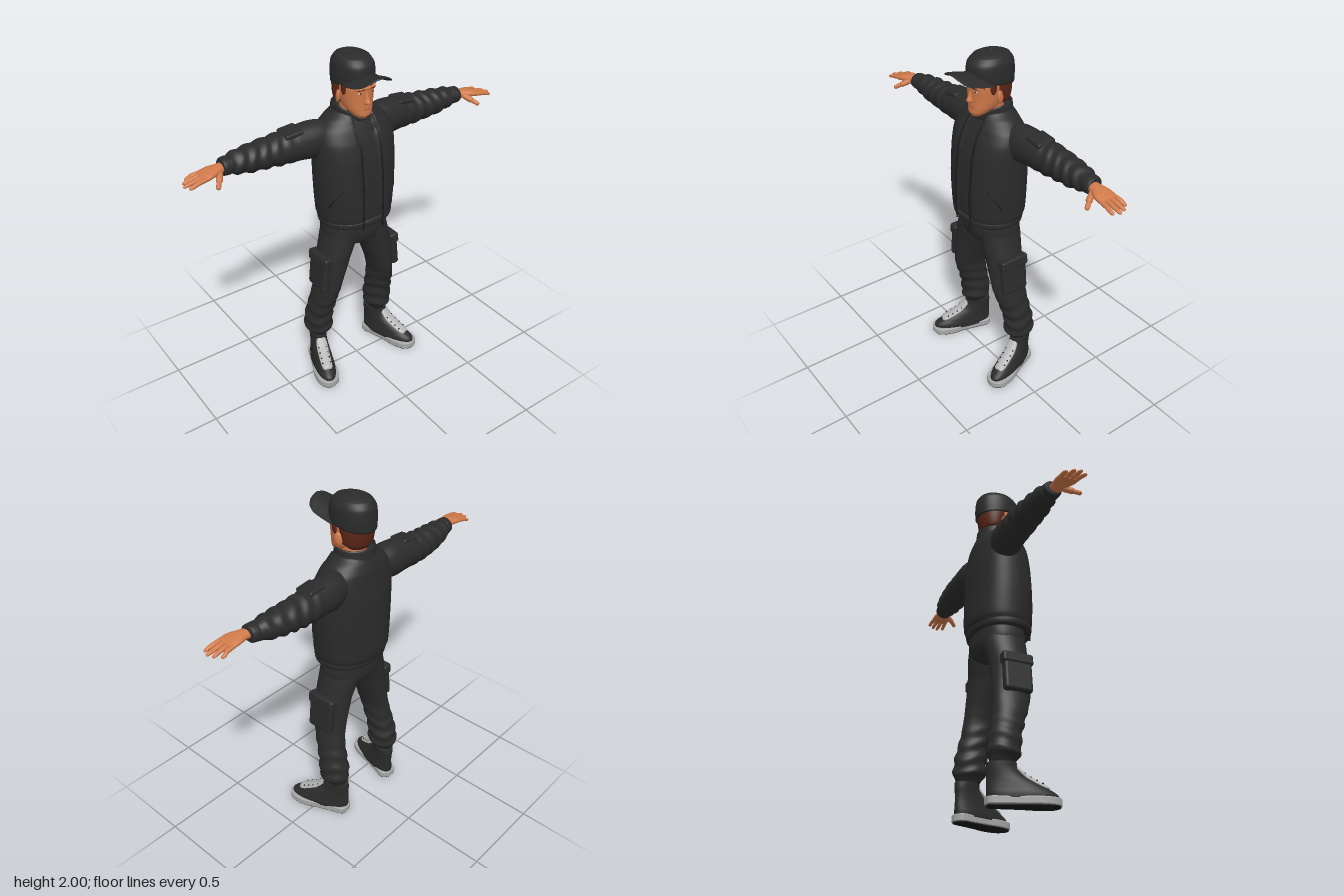
import * as THREE from 'three';
import { RoundedBoxGeometry } from 'three/addons/geometries/RoundedBoxGeometry.js';

const mat = (name, color, side = THREE.FrontSide) => {
  const m = new THREE.MeshStandardMaterial({ color, side });
  m.name = name;
  return m;
};
const M = {
  cloth: mat('charcoal cloth', 0x2b2b2b, THREE.DoubleSide),
  seam: mat('dark seam', 0x1b1b1b),
  skin: mat('skin', 0xd07a4a),
  hair: mat('auburn hair', 0x5a2618),
  lips: mat('lips', 0xb05f40),
  white: mat('eye white', 0xd8cfc6),
  sole: mat('sole grey', 0xa6a6a6),
  tongue: mat('tongue grey', 0xb4b4b4),
};

// Smooth loft. Section: [position on axis, centre 1, centre 2, half size 1, half size 2, roundness].
// Axis y uses (x, z), axis x uses (z, y), axis z uses (y, x) for the two cross directions.
function loft(axis, sections, { seg = 40, sub = 6, cap = true, warp } = {}) {
  const rows = [];
  const last = sections.length - 1;
  const at = (i, k) => sections[Math.min(last, Math.max(0, i))][k] ?? 2;
  for (let i = 0; i < last; i++) {
    for (let s = 0; s < sub + (i === last - 1 ? 1 : 0); s++) {
      const t = s / sub;
      rows.push([0, 1, 2, 3, 4, 5].map((k) => {
        const [p0, p1, p2, p3] = [at(i - 1, k), at(i, k), at(i + 1, k), at(i + 2, k)];
        const v = p1 + 0.5 * t * (p2 - p0 + t * (2 * p0 - 5 * p1 + 4 * p2 - p3 + t * (3 * (p1 - p2) + p3 - p0)));
        return k === 0 ? p1 + (p2 - p1) * t : v;
      }));
    }
  }
  const pos = [], idx = [];
  const put = (u, l, w, t) => {
    const p = axis === 'y' ? new THREE.Vector3(u, l, w)
      : axis === 'x' ? new THREE.Vector3(l, w, u) : new THREE.Vector3(w, u, l);
    if (warp) warp(p, t);
    pos.push(p.x, p.y, p.z);
  };
  const pw = (v, p) => Math.sign(v) * Math.abs(v) ** (2 / p);
  rows.forEach(([l, u, w, a, b, p]) => {
    for (let j = 0; j < seg; j++) {
      const t = (j / seg) * Math.PI * 2;
      put(u + a * pw(Math.cos(t), p), l, w + b * pw(Math.sin(t), p), t);
    }
  });
  for (let i = 0; i < rows.length - 1; i++) {
    for (let j = 0; j < seg; j++) {
      const a = i * seg + j, b = i * seg + ((j + 1) % seg);
      idx.push(a, a + seg, b, b, a + seg, b + seg);
    }
  }
  if (cap) {
    const n = rows.length * seg, top = n - seg;
    [rows[0], rows[rows.length - 1]].forEach((r) => put(r[1], r[0], r[2], 0));
    for (let j = 0; j < seg; j++) {
      const k = (j + 1) % seg;
      idx.push(n, j, k, n + 1, top + k, top + j);
    }
  }
  const g = new THREE.BufferGeometry();
  g.setAttribute('position', new THREE.Float32BufferAttribute(pos, 3));
  g.setIndex(idx);
  g.computeVertexNormals();
  return g;
}

function add(parent, name, geo, material, at = [0, 0, 0], rot = [0, 0, 0], scale = [1, 1, 1]) {
  const m = new THREE.Mesh(geo, material);
  m.name = name;
  m.position.set(...at);
  m.rotation.set(...rot);
  m.scale.set(...scale);
  parent.add(m);
  return m;
}
const tube = (pts, r) => new THREE.TubeGeometry(
  new THREE.CatmullRomCurve3(pts.map((p) => new THREE.Vector3(...p))), 24, r, 6);
const ball = new THREE.SphereGeometry(1, 20, 14);

// Copy every mesh of the left side to the right, with the winding turned round
function mirrored(side) {
  const out = new THREE.Group();
  side.updateMatrixWorld(true);
  side.traverse((o) => {
    if (!o.isMesh) return;
    const g = o.geometry.clone().applyMatrix4(o.matrixWorld).scale(-1, 1, 1);
    const n = g.attributes.position.count;
    const ix = g.index ? Array.from(g.index.array) : Array.from({ length: n }, (_, i) => i);
    for (let i = 0; i < ix.length; i += 3) [ix[i], ix[i + 1]] = [ix[i + 1], ix[i]];
    g.setIndex(ix);
    add(out, o.name, g, o.material);
  });
  return out;
}

function addTorso(root) {
  // Blouson, pressed in along the open front
  add(root, 'jacketBody', loft('y', [
    [1.035, 0, -0.02, 0.212, 0.165, 2.2], [1.09, 0, -0.025, 0.226, 0.182, 2.2], [1.25, 0, -0.025, 0.236, 0.18, 2.3],
    [1.43, 0, -0.03, 0.24, 0.172, 2.3], [1.53, 0, -0.035, 0.238, 0.155, 2.3], [1.6, 0, -0.045, 0.215, 0.135, 2.2],
    [1.65, 0, -0.05, 0.165, 0.115], [1.685, 0, -0.05, 0.115, 0.1],
  ], { seg: 96, warp: (p) => {
    if (p.z > 0.02 && p.x > -0.058 && p.x < 0.068) p.z -= 0.014;
  } }), M.cloth);
  add(root, 'jacketHem', loft('y', [
    [1.022, 0, -0.02, 0.2, 0.16, 2.2], [1.03, 0, -0.02, 0.216, 0.17, 2.2], [1.06, 0, -0.02, 0.22, 0.174, 2.2],
    [1.07, 0, -0.02, 0.21, 0.165, 2.2],
  ], { seg: 64, sub: 3 }), M.cloth);
  for (const x of [-0.06, 0.07]) {
    add(root, 'zipEdge', tube([[x, 1.02, 0.149], [x, 1.1, 0.155], [x, 1.25, 0.154], [x, 1.43, 0.138],
      [x, 1.53, 0.117], [x * 0.95, 1.6, 0.086], [x * 0.85, 1.655, 0.055]], 0.005), M.seam);
  }
  add(root, 'zipPull', new THREE.BoxGeometry(0.012, 0.035, 0.008), M.seam, [0.07, 1.025, 0.155]);
  // Stand-up collar, high behind and dipping in front
  add(root, 'collar', loft('y', [
    [1.63, 0, -0.05, 0.125, 0.11], [1.67, 0, -0.05, 0.116, 0.108], [1.715, 0, -0.045, 0.112, 0.108],
    [1.722, 0, -0.045, 0.106, 0.102], [1.7, 0, -0.045, 0.1, 0.096],
  ], { cap: false, seg: 48, warp: (p, t) => {
    p.y -= 0.075 * Math.max(0, Math.sin(t)) ** 3 * Math.max(0, (p.y - 1.62) / 0.1);
  } }), M.cloth);
  // Pelvis
  add(root, 'trouserSeat', loft('y', [
    [0.865, 0, -0.025, 0.07, 0.08], [0.9, 0, -0.03, 0.17, 0.12, 2.3], [0.96, 0, -0.032, 0.2, 0.136, 2.4],
    [1.06, 0, -0.032, 0.19, 0.135, 2.4],
  ]), M.cloth);
}

function addHead(root) {
  add(root, 'neck', loft('y', [[1.58, 0, -0.04, 0.082, 0.085], [1.65, 0, -0.04, 0.068, 0.07], [1.76, 0, -0.045, 0.066, 0.068]]), M.skin);
  add(root, 'head', loft('y', [
    [1.655, 0, 0.05, 0.025, 0.03], [1.675, 0, 0.035, 0.052, 0.058, 2.2], [1.71, 0, 0.008, 0.074, 0.084, 2.2],
    [1.77, 0, -0.014, 0.088, 0.107, 2.2], [1.83, 0, -0.02, 0.094, 0.116, 2.2], [1.9, 0, -0.025, 0.09, 0.112],
  ]), M.skin);
  add(root, 'nose', loft('y', [
    [1.737, 0, 0.088, 0.012, 0.012], [1.747, 0, 0.092, 0.017, 0.025], [1.77, 0, 0.09, 0.011, 0.018], [1.81, 0, 0.083, 0.009, 0.012],
  ], { seg: 16 }), M.skin);
  add(root, 'brow', ball, M.skin, [0, 1.826, 0.078], [0, 0, 0], [0.066, 0.014, 0.022]);
  add(root, 'mouth', ball, M.lips, [0, 1.71, 0.087], [0, 0, 0], [0.026, 0.006, 0.007]);
  for (const s of [-1, 1]) {
    add(root, 'eye', ball, M.white, [s * 0.036, 1.803, 0.083], [0, s * 0.3, 0], [0.015, 0.006, 0.006]);
    add(root, 'iris', ball, M.hair, [s * 0.036, 1.803, 0.087], [0, 0, 0], [0.005, 0.005, 0.004]);
    add(root, 'eyebrow', ball, M.hair, [s * 0.038, 1.823, 0.093], [0, s * 0.3, s * -0.1], [0.022, 0.004, 0.005]);
    add(root, 'ear', ball, M.skin, [s * 0.1, 1.77, -0.025], [0.15, s * 0.4, 0], [0.011, 0.037, 0.022]);
    add(root, 'sideburn', ball, M.hair, [s * 0.089, 1.825, 0.01], [0, 0, 0], [0.009, 0.04, 0.02]);
  }
  // Hair below the cap and loose fringe locks
  add(root, 'hair', loft('y', [
    [1.715, 0, -0.07, 0.065, 0.055], [1.74, 0, -0.066, 0.09, 0.074], [1.79, 0, -0.06, 0.099, 0.09], [1.87, 0, -0.055, 0.1, 0.1],
  ]), M.hair);
  [-0.045, -0.01, 0.025, 0.055, 0.075].forEach((x, i) => {
    add(root, 'fringeLock', new THREE.ConeGeometry(0.015, 0.05, 8), M.hair,
      [x, 1.846, 0.094 - x * x * 5.5], [Math.PI, 0, (i % 2 ? 0.3 : -0.2)], [1.2, 1, 0.5]);
  });
  // Cap
  add(root, 'capCrown', loft('y', [
    [1.84, 0, -0.035, 0.106, 0.132, 2.1], [1.89, 0, -0.035, 0.107, 0.134, 2.1], [1.94, 0, -0.035, 0.102, 0.128, 2.1],
    [1.972, 0, -0.038, 0.084, 0.104], [1.986, 0, -0.04, 0.056, 0.068], [1.991, 0, -0.04, 0.015, 0.015],
  ], { seg: 56, warp: (p) => { p.y += Math.max(0, 1.94 - p.y) * 1.3 * p.z; } }), M.cloth);
  add(root, 'capButton', ball, M.cloth, [0, 1.991, -0.04], [0, 0, 0], [0.01, 0.005, 0.01]);
  add(root, 'capBrim', loft('z', [
    [0.01, 1.882, 0, 0.007, 0.104], [0.09, 1.893, 0, 0.007, 0.103], [0.15, 1.905, 0, 0.007, 0.1],
    [0.19, 1.914, 0, 0.007, 0.086], [0.21, 1.918, 0, 0.006, 0.058], [0.22, 1.919, 0, 0.003, 0.015],
  ], { warp: (p) => { p.y -= 4.2 * p.x * p.x; } }), M.cloth);
}

function addArm(side) {
  // Sleeve with soft folds
  add(side, 'sleeve', loft('x', [
    [0.1, -0.06, 1.55, 0.07, 0.075], [0.22, -0.078, 1.54, 0.09, 0.103], [0.32, -0.085, 1.54, 0.088, 0.097],
    [0.42, -0.09, 1.535, 0.084, 0.09], [0.52, -0.09, 1.535, 0.08, 0.08], [0.62, -0.085, 1.537, 0.073, 0.072],
    [0.7, -0.08, 1.542, 0.062, 0.06], [0.745, -0.075, 1.545, 0.05, 0.046],
  ], { sub: 12, warp: (p, t) => {
    const k = 0.06 * THREE.MathUtils.smoothstep(p.x, 0.3, 0.5) * Math.sin(p.x * 85 + 1.4 * Math.sin(t * 2 + p.x * 9));
    p.y += (p.y - 1.54) * k;
    p.z += (p.z + 0.085) * k;
  } }), M.cloth);
  add(side, 'cuff', loft('x', [
    [0.73, -0.073, 1.545, 0.05, 0.046], [0.74, -0.073, 1.545, 0.053, 0.049], [0.772, -0.07, 1.546, 0.05, 0.046], [0.78, -0.07, 1.546, 0.042, 0.036],
  ], { sub: 3 }), M.cloth);
  add(side, 'sleevePocket', new RoundedBoxGeometry(0.105, 0.03, 0.11, 3, 0.012), M.cloth, [0.365, 1.617, -0.08], [0.08, 0, -0.09]);
  // Hand
  add(side, 'palm', loft('x', [
    [0.75, -0.065, 1.546, 0.03, 0.026], [0.8, -0.057, 1.549, 0.037, 0.024], [0.85, -0.05, 1.547, 0.052, 0.02, 2.4],
    [0.89, -0.048, 1.541, 0.054, 0.015, 2.6], [0.905, -0.048, 1.539, 0.05, 0.011, 2.6],
  ]), M.skin);
  [0.965, 0.99, 1, 0.985].forEach((tip, i) => {
    const z = -0.088 + i * 0.027, sp = (i - 1.5) * 0.003;
    add(side, 'finger', loft('x', [
      [0.87, z, 1.542, 0.013, 0.012], [0.93, z + sp, 1.535, 0.0125, 0.012], [tip - 0.02, z + sp * 2, 1.526, 0.011, 0.01],
      [tip - 0.005, z + sp * 2, 1.522, 0.008, 0.007], [tip, z + sp * 2, 1.521, 0.002, 0.002],
    ], { seg: 14, sub: 4 }), M.skin);
  });
  const thumb = (name, a, b, r) => {
    const va = new THREE.Vector3(...a), d = new THREE.Vector3(...b).sub(va);
    const m = add(side, name, new THREE.CapsuleGeometry(r, d.length(), 6, 14), M.skin);
    m.position.copy(va).addScaledVector(d, 0.5);
    m.quaternion.setFromUnitVectors(new THREE.Vector3(0, 1, 0), d.normalize());
  };
  thumb('thumbBase', [0.8, 1.543, -0.04], [0.827, 1.522, 0.008], 0.017);
  thumb('thumbTip', [0.827, 1.522, 0.008], [0.85, 1.504, 0.04], 0.0125);
}

function addLeg(side) {
  add(side, 'trouserLeg', loft('y', [
    [0.16, 0.222, -0.1, 0.042, 0.058], [0.215, 0.222, -0.1, 0.046, 0.064], [0.24, 0.222, -0.098, 0.058, 0.075],
    [0.27, 0.222, -0.092, 0.079, 0.09], [0.32, 0.221, -0.09, 0.081, 0.092], [0.4, 0.218, -0.078, 0.076, 0.09],
    [0.5, 0.207, -0.052, 0.071, 0.096], [0.6, 0.19, -0.032, 0.067, 0.107], [0.8, 0.148, -0.025, 0.094, 0.112],
    [0.92, 0.11, -0.03, 0.1, 0.122], [1, 0.1, -0.03, 0.092, 0.12],
  ], { sub: 8, warp: (p, t) => {
    const k = 0.05 * THREE.MathUtils.smoothstep(p.y, 0.22, 0.28) * (1 - THREE.MathUtils.smoothstep(p.y, 0.42, 0.6));
    const f = k * Math.sin(p.y * 75 + 1.5 * Math.sin(t * 2));
    p.x += (p.x - 0.22) * f;
    p.z += (p.z + 0.085) * f;
  } }), M.cloth);
  add(side, 'cargoPocket', new RoundedBoxGeometry(0.05, 0.21, 0.165, 3, 0.018), M.cloth, [0.243, 0.715, -0.022], [0, 0, 0.1]);
  add(side, 'pocketFlap', new RoundedBoxGeometry(0.058, 0.065, 0.18, 3, 0.014), M.cloth, [0.236, 0.802, -0.022], [0, 0, 0.12]);
  add(side, 'jacketPocketSlit', tube([[0.168, 1.28, 0.11], [0.198, 1.225, 0.08], [0.222, 1.17, 0.05]], 0.005), M.seam);
}

function addShoe(side) {
  const shoe = new THREE.Group();
  shoe.name = 'shoe';
  shoe.position.set(0.222, 0, -0.1);
  shoe.rotation.y = 0.33;
  side.add(shoe);
  const outline = (k) => new THREE.Shape(new THREE.SplineCurve(
    [[0, -0.09], [0.045, -0.07], [0.053, 0], [0.06, 0.1], [0.07, 0.19], [0.052, 0.27], [0, 0.3],
      [-0.052, 0.27], [-0.066, 0.19], [-0.055, 0.1], [-0.05, 0], [-0.045, -0.07], [0, -0.09]]
      .map(([x, z]) => new THREE.Vector2(x * k, -(0.105 + (z - 0.105) * k)))).getPoints(48));
  const slab = (k, depth, bevel) => new THREE.ExtrudeGeometry(outline(k), {
    depth, bevelEnabled: bevel > 0, bevelSize: bevel, bevelThickness: bevel, bevelSegments: 3 }).rotateX(-Math.PI / 2);
  add(shoe, 'outsole', slab(0.97, 0.01, 0), M.seam, [0, 0, 0]);
  add(shoe, 'soleRim', slab(0.97, 0.028, 0.006), M.sole, [0, 0.011, 0]);
  add(shoe, 'shoeUpper', loft('y', [
    [0.035, 0, 0.103, 0.063, 0.183, 2.2], [0.06, 0, 0.1, 0.063, 0.182, 2.2], [0.085, 0, 0.082, 0.059, 0.165, 2.1],
    [0.12, 0, 0.05, 0.054, 0.132], [0.155, 0, 0.016, 0.05, 0.098], [0.19, 0, -0.002, 0.05, 0.083], [0.222, 0, -0.004, 0.052, 0.078],
  ]), M.cloth);
  add(shoe, 'shoeTongue', loft('z', [
    [0.07, 0.2, 0, 0.012, 0.03, 3], [0.09, 0.182, 0, 0.012, 0.034, 3], [0.118, 0.156, 0, 0.011, 0.035, 3],
    [0.18, 0.123, 0, 0.01, 0.034, 3], [0.222, 0.104, 0, 0.009, 0.03, 3], [0.235, 0.097, 0, 0.006, 0.02],
  ], { warp: (p) => { p.y -= 9 * p.x * p.x; } }), M.tongue);
  [[0.11, 0.172], [0.14, 0.153], [0.17, 0.138], [0.2, 0.124]].forEach(([z, y]) => {
    for (const s of [-1, 1]) add(shoe, 'eyelet', ball, M.seam, [s * 0.024, y - 0.007, z], [0, 0, 0], [0.005, 0.005, 0.005]);
  });
}

export function createModel() {
  const root = new THREE.Group();
  root.name = 'figure';
  addTorso(root);
  addHead(root);
  const left = new THREE.Group();
  addArm(left);
  addLeg(left);
  addShoe(left);
  const right = mirrored(left);
  left.name = 'leftLimbs';
  right.name = 'rightLimbs';
  root.add(left, right);
  return root;
}
